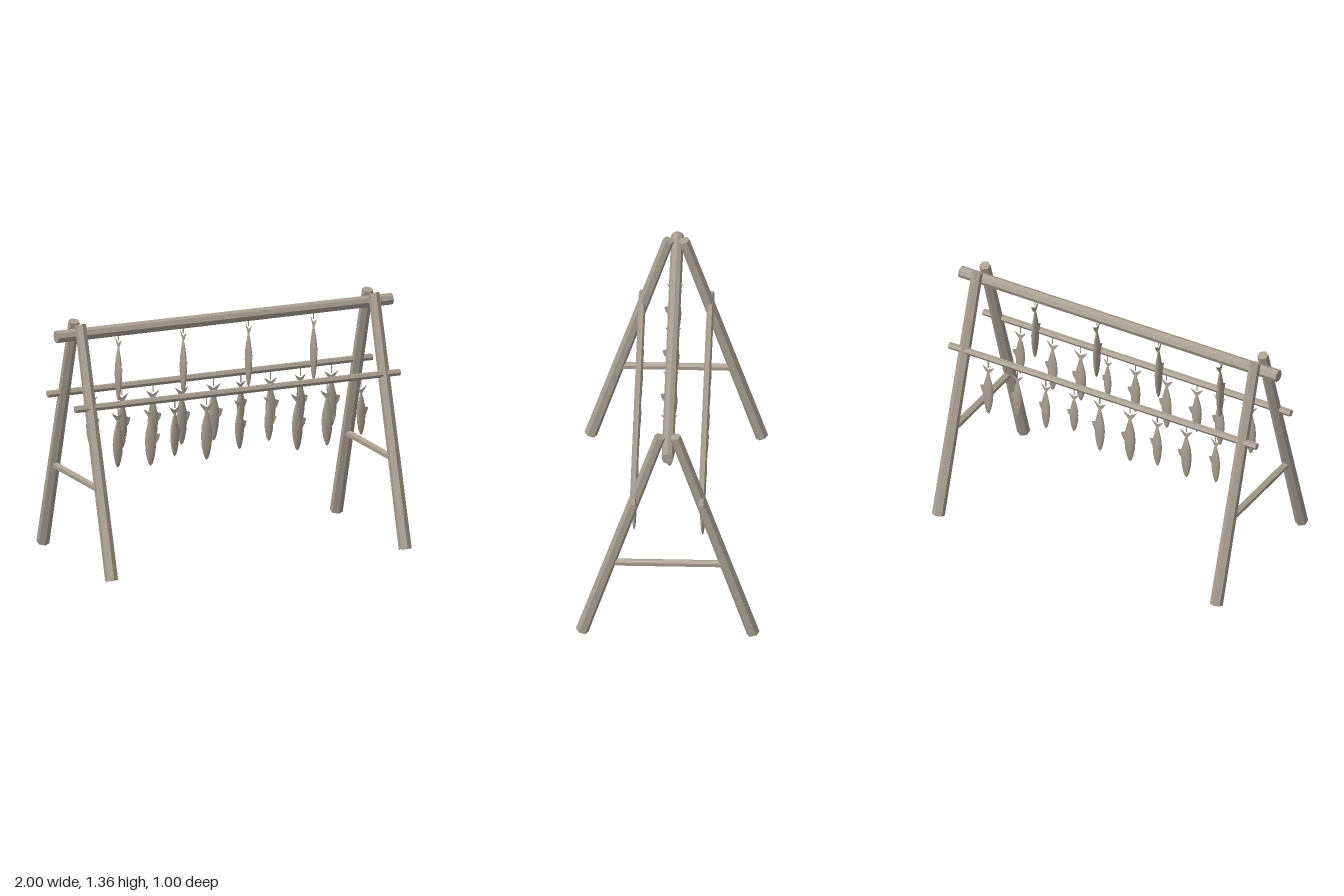
import * as THREE from 'three';

const wood = new THREE.MeshStandardMaterial({ color: 0xa89f90, side: THREE.DoubleSide });
wood.name = 'weatheredGrey';

const v = (x, y, z) => new THREE.Vector3(x, y, z);

// Faceted pole running from a to b, with a radius at each end
function pole(name, a, b, ra, rb, sides = 6) {
  const dir = b.clone().sub(a);
  const geo = new THREE.CylinderGeometry(rb, ra, dir.length(), sides).toNonIndexed();
  geo.computeVertexNormals();
  const mesh = new THREE.Mesh(geo, wood);
  mesh.name = name;
  mesh.quaternion.setFromUnitVectors(v(0, 1, 0), dir.normalize());
  mesh.position.copy(a).add(b).multiplyScalar(0.5);
  return mesh;
}

function flat(points) {
  return new THREE.ShapeGeometry(new THREE.Shape(points.map(([x, y]) => new THREE.Vector2(x, y))));
}

// Fish hanging head down, tail tips at the origin
const bodyGeo = new THREE.LatheGeometry([
  [0, -0.355], [0.011, -0.343], [0.021, -0.315], [0.031, -0.265], [0.036, -0.205],
  [0.031, -0.145], [0.018, -0.09], [0.007, -0.05], [0, -0.045],
].map(([r, y]) => new THREE.Vector2(r, y)), 10);
bodyGeo.scale(1, 1, 0.45);
const tailGeo = flat([[-0.006, -0.06], [0.006, -0.06], [0.03, -0.028], [0.046, 0],
  [0, -0.028], [-0.046, 0], [-0.03, -0.028]]);
const finGeo = flat([[0.028, -0.225], [0.05, -0.195], [0.059, -0.162], [0.028, -0.15]]);

function fish(size, stringTop) {
  const g = new THREE.Group();
  g.name = 'fish';
  [['fishBody', bodyGeo], ['fishTail', tailGeo], ['fishFin', finGeo]].forEach(([name, geo]) => {
    const mesh = new THREE.Mesh(geo, wood);
    mesh.name = name;
    mesh.scale.setScalar(size);
    g.add(mesh);
  });
  g.add(pole('string', v(0, -0.012, 0), v(0, stringTop, 0), 0.003, 0.003, 5));
  return g;
}

export function createModel() {
  const model = new THREE.Group();
  model.name = 'fishDryingRack';

  // A-frames at both ends
  for (const x of [-0.875, 0.875]) {
    for (const s of [1, -1]) {
      model.add(pole('leg', v(x, 0.012, s * 0.467), v(x, 1.356, s * 0.042), 0.036, 0.031));
    }
    model.add(pole('crossbar', v(x, 0.485, -0.315), v(x, 0.485, 0.315), 0.021, 0.021));
  }

  // Ridge pole and the two side rails
  model.add(pole('ridgePole', v(-1, 1.288, -0.003), v(1, 1.3, -0.003), 0.035, 0.033, 8));
  for (const s of [1, -1]) {
    model.add(pole('rail', v(-0.97, 0.92, s * 0.187), v(0.965, 0.934, s * 0.187), 0.02, 0.019));
  }

  // Fish under the ridge, turned edge-on
  for (const x of [-0.63, -0.243, 0.146, 0.534]) {
    const f = fish(1, 0.035);
    f.position.set(x, 1.245, 0);
    f.rotation.y = -Math.PI / 2;
    model.add(f);
  }

  // Fish along the rails: [x, size, turn]
  const rows = {
    front: [[-0.715, 0.88, 0.1], [-0.52, 0.91, -0.15], [-0.376, 0.8, 0.2], [-0.186, 0.91, -0.1],
      [0.01, 0.8, 0.15], [0.185, 0.72, -0.2], [0.355, 0.92, 0.05], [0.532, 0.89, -0.1], [0.735, 0.78, 0.15]],
    back: [[-0.71, 0.8, -0.15], [-0.525, 0.88, 0.1], [-0.342, 0.84, -0.1], [-0.17, 0.92, 0.1],
      [0.02, 0.91, -0.1], [0.182, 0.7, 0.15], [0.36, 0.82, -0.15], [0.538, 0.78, 0.1], [0.722, 0.89, -0.05]],
  };
  for (const [row, list] of Object.entries(rows)) {
    for (const [x, size, turn] of list) {
      const f = fish(size, 0.04);
      f.position.set(x, 0.88, row === 'front' ? 0.187 : -0.187);
      f.rotation.y = turn;
      model.add(f);
    }
  }
  return model;
}
